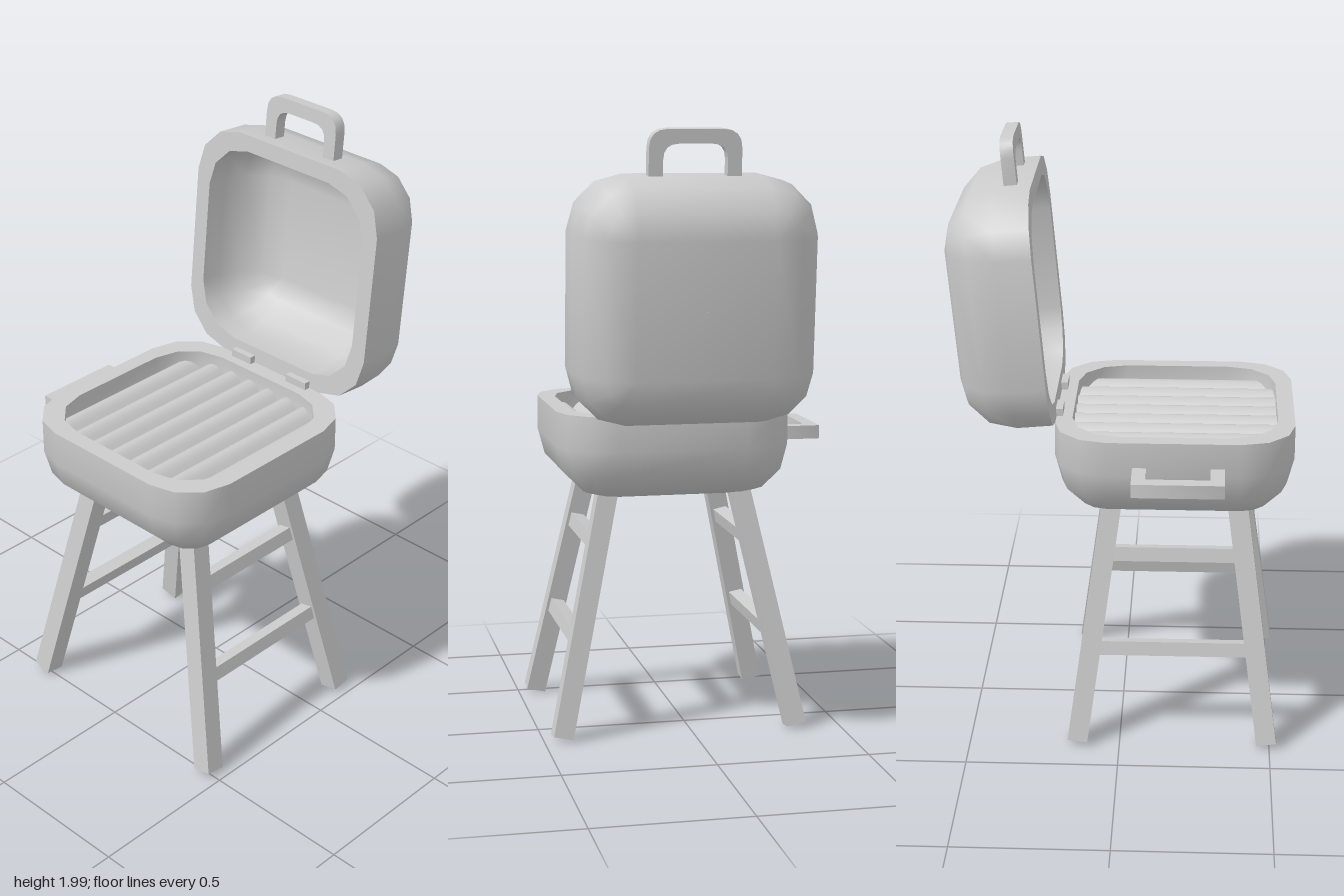
import * as THREE from 'three';
import { toCreasedNormals } from 'three/addons/utils/BufferGeometryUtils.js';

const material = new THREE.MeshStandardMaterial({ color: 0xcccccc });
const thinMaterial = new THREE.MeshStandardMaterial({ color: 0xcccccc, side: THREE.DoubleSide });
const CX = 0.045, CZ = 0.173;           // centre of the bowl
const HALF = 0.39, R = 0.175;           // outer half width and corner radius
const IN_HALF = 0.335, IN_R = 0.16;     // inner half width and corner radius
const DEPTH = 0.29, WALL = 0.055;

function addMesh(parent, name, geometry, mat = material) {
  const mesh = new THREE.Mesh(geometry, mat);
  mesh.name = name;
  parent.add(mesh);
  return mesh;
}

function indexed(positions, index) {
  const g = new THREE.BufferGeometry();
  g.setAttribute('position', new THREE.Float32BufferAttribute(positions, 3));
  g.setIndex(index);
  return toCreasedNormals(g, 0.9);
}

// Rounded square ring, three facets per corner
function ring(half, r, y) {
  const pts = [];
  for (let c = 0; c < 4; c++) {
    const mid = (c + 0.5) * Math.PI / 2, d = (half - r) * Math.SQRT2;
    for (let i = 0; i <= 3; i++) {
      const a = (c + i / 3) * Math.PI / 2;
      pts.push(d * Math.cos(mid) + r * Math.cos(a), y, d * Math.sin(mid) + r * Math.sin(a));
    }
  }
  return pts;
}

// Hollow rounded bowl, rim at y = 0, opening up
function bowlGeometry() {
  const rings = [ring(0.001, 0.0005, -DEPTH)];
  const arc = (half, r, floor, i) => {
    const a = i * Math.PI / 6, k = Math.max(Math.cos(a), 0.004);
    rings.push(ring(half - r + r * k, r * k, floor + r * (1 - Math.sin(a))));
  };
  for (let i = 3; i >= 0; i--) arc(HALF, R, -DEPTH, i);
  rings.push(ring(HALF, R, 0), ring(IN_HALF, IN_R, 0));
  for (let i = 0; i <= 3; i++) arc(IN_HALF, IN_R, -DEPTH + WALL, i);
  rings.push(ring(0.001, 0.0005, -DEPTH + WALL));
  const index = [], n = 16;
  for (let i = 0; i < rings.length - 1; i++) {
    for (let j = 0; j < n; j++) {
      const a = i * n + j, b = i * n + (j + 1) % n;
      index.push(a, a + n, b, b, a + n, b + n);
    }
  }
  return indexed(rings.flat(), index);
}

// Corrugated sheet trimmed to the rounded opening
function grateGeometry() {
  const pos = [], index = [], ridges = 8, seg = 6, n = ridges * seg;
  const flat = IN_HALF - IN_R;
  for (let i = 0; i <= n; i++) {
    const x = -IN_HALF + 2 * IN_HALF * i / n;
    const over = Math.max(Math.abs(x) - flat, 0);
    const z = flat + Math.sqrt(Math.max(IN_R * IN_R - over * over, 0));
    const y = 0.03 * Math.abs(Math.sin(Math.PI * i / seg));
    pos.push(x, y, -z, x, y, z);
    if (i < n) {
      const a = i * 2;
      index.push(a, a + 1, a + 2, a + 2, a + 1, a + 3);
    }
  }
  return indexed(pos, index);
}

// U-shaped bar standing on y = 0, centred in depth
function handleGeometry(width, height, bar, depth, outerR, innerR) {
  const w = width / 2, v = w - bar, t = height - bar;
  const s = new THREE.Shape();
  s.moveTo(w, 0);
  s.lineTo(w, height - outerR);
  s.quadraticCurveTo(w, height, w - outerR, height);
  s.lineTo(outerR - w, height);
  s.quadraticCurveTo(-w, height, -w, height - outerR);
  s.lineTo(-w, 0);
  s.lineTo(-v, 0);
  s.lineTo(-v, t - innerR);
  s.quadraticCurveTo(-v, t, innerR - v, t);
  s.lineTo(v - innerR, t);
  s.quadraticCurveTo(v, t, v, t - innerR);
  s.lineTo(v, 0);
  s.closePath();
  const g = new THREE.ExtrudeGeometry(s, { depth, bevelEnabled: false, curveSegments: 4 });
  return toCreasedNormals(g.translate(0, 0, -depth / 2), 0.7);
}

export function createModel() {
  const model = new THREE.Group();
  model.name = 'barbecueGrill';
  const bowl = bowlGeometry();

  // Fire bowl and cooking grate
  addMesh(model, 'bowl', bowl).position.set(CX, 1.08, CZ);
  addMesh(model, 'grate', grateGeometry(), thinMaterial).position.set(CX, 1.015, CZ);

  // Open lid, leaning slightly back, with its handle
  const lid = new THREE.Group();
  lid.name = 'lid';
  lid.position.set(CX, 1.467, -0.25);
  lid.rotation.x = Math.PI / 2 - 0.09;
  model.add(lid);
  addMesh(lid, 'lidShell', bowl);
  const lidHandle = addMesh(lid, 'lidHandle', handleGeometry(0.295, 0.165, 0.045, 0.042, 0.06, 0.05));
  lidHandle.rotation.x = -Math.PI / 2;
  lidHandle.position.set(0, -0.068, -0.37);

  // Hinges between bowl and lid
  for (const x of [-0.0725, 0.175]) {
    addMesh(model, 'hinge', new THREE.BoxGeometry(0.087, 0.03, 0.027)).position.set(x, 1.09, -0.208);
  }

  // Side handle
  const sideHandle = addMesh(model, 'sideHandle', handleGeometry(0.295, 0.155, 0.045, 0.045, 0.001, 0.001));
  sideHandle.rotation.set(Math.PI / 2, 0, Math.PI / 2);
  sideHandle.position.set(-0.325, 0.973, 0.188);

  // Splayed legs and the rungs joining front and back on each side
  const legPoint = (sx, sz, y) => {
    const t = (y - 0.012) / 0.788;
    return new THREE.Vector3(CX + sx * (0.395 - 0.17 * t), y, 0.175 + sz * (0.315 - 0.107 * t));
  };
  const up = new THREE.Vector3(0, 1, 0);
  for (const sx of [-1, 1]) {
    for (const sz of [-1, 1]) {
      const a = legPoint(sx, sz, 0.012), b = legPoint(sx, sz, 0.84);
      const leg = addMesh(model, sz > 0 ? 'frontLeg' : 'backLeg',
        new THREE.BoxGeometry(0.066, a.distanceTo(b), 0.066));
      leg.position.copy(a).add(b).multiplyScalar(0.5);
      leg.quaternion.setFromUnitVectors(up, b.sub(a).normalize());
    }
    for (const y of [0.638, 0.325]) {
      const p = legPoint(sx, 1, y);
      const rung = addMesh(model, 'rung', new THREE.BoxGeometry(0.045, 0.047, 2 * (p.z - 0.175)));
      rung.position.set(p.x, y, 0.175);
      rung.rotation.z = sx * 0.213;
    }
  }
  return model;
}
